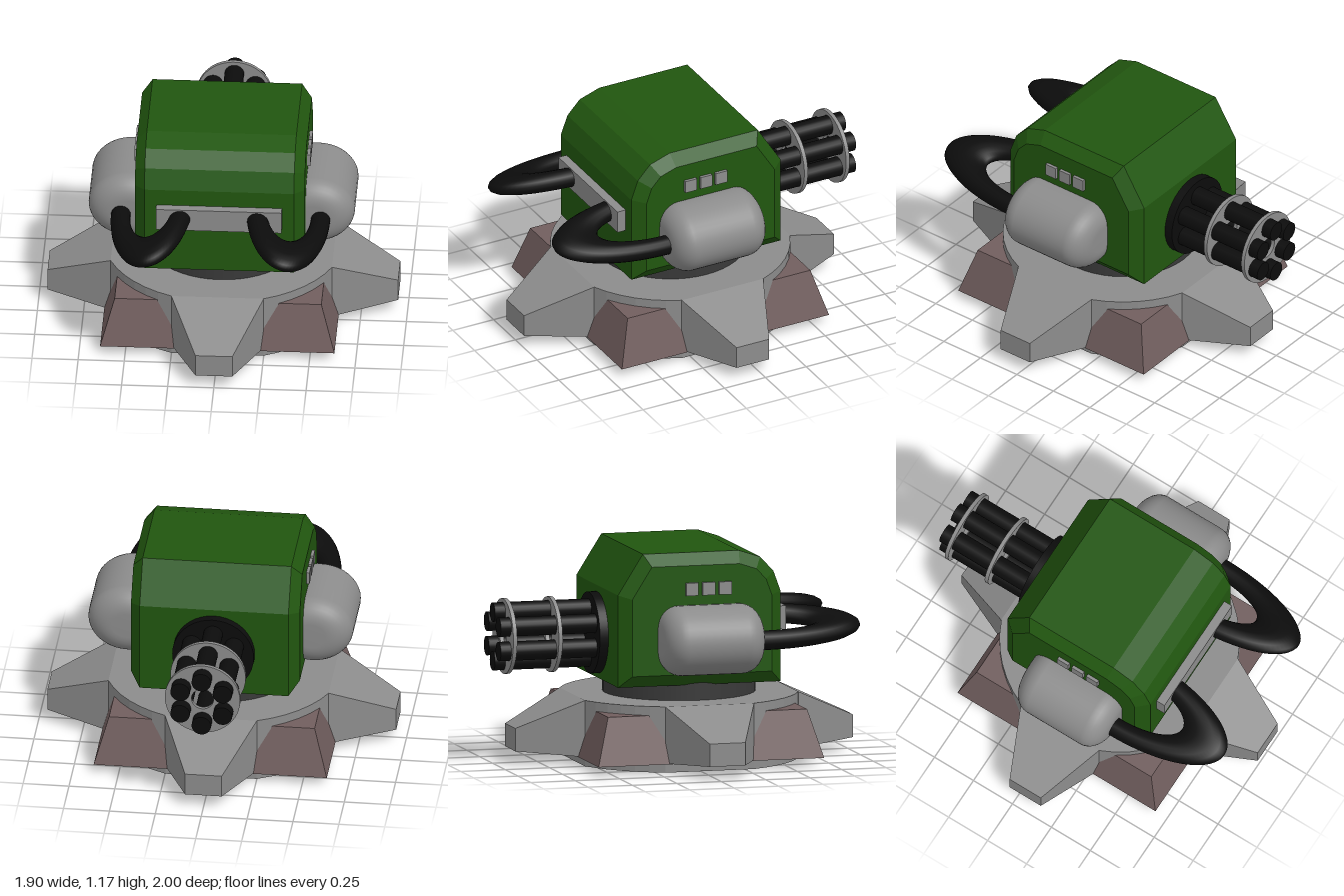
import * as THREE from 'three';

const mat = (color, flatShading = false) => new THREE.MeshStandardMaterial({ color, flatShading });
const grey = mat(0x8c8c8c), greyFlat = mat(0x8c8c8c, true), green = mat(0x21560f, true);
const stone = mat(0x715e5e, true), black = mat(0x0c0c0c), darkGrey = mat(0x393939);

export function createModel() {
  const model = new THREE.Group();
  model.name = 'gunTurret';
  const add = (name, geometry, material, x = 0, y = 0, z = 0, parent = model) => {
    const mesh = new THREE.Mesh(geometry, material);
    mesh.name = name;
    mesh.position.set(x, y, z);
    parent.add(mesh);
    return mesh;
  };

  // Round base plate cut flat on four sides, with a tapering foot on each flat
  const base = new THREE.Group();
  base.name = 'base';
  base.position.z = 0.05;
  model.add(base);
  const plate = new THREE.CylinderGeometry(0.65, 0.65, 0.36, 48);
  const q = plate.attributes.position;
  const clamp = (v) => THREE.MathUtils.clamp(v, -0.6, 0.6);
  for (let i = 0; i < q.count; i++) q.setXYZ(i, clamp(q.getX(i)), q.getY(i), clamp(q.getZ(i)));
  add('basePlate', plate, greyFlat, 0, 0.18, 0, base);

  const footGeometry = new THREE.BoxGeometry(1, 1, 1);
  const p = footGeometry.attributes.position;
  for (let i = 0; i < p.count; i++) {
    const tip = p.getZ(i) > 0, top = p.getY(i) > 0;
    p.setXYZ(i, Math.sign(p.getX(i)) * (tip ? 0.1 : 0.25),
      top ? (tip ? 0.2 : 0.36) : (tip ? 0.075 : 0.05), tip ? 0.95 : 0.6);
  }
  for (let i = 0; i < 4; i++) {
    add('foot', footGeometry, greyFlat, 0, 0, 0, base).rotation.y = i * Math.PI / 2;
  }

  // Square tapered block whose corners stand out between the feet
  const block = new THREE.CylinderGeometry(0.56 * Math.SQRT2, 0.635 * Math.SQRT2, 0.26, 4).rotateY(Math.PI / 4);
  add('cornerBlock', block, stone, 0, 0.18, 0, base);

  // Turning ring under the housing
  add('turnRing', new THREE.CylinderGeometry(0.415, 0.415, 0.12, 48), darkGrey, 0, 0.4, 0, base);

  // Housing: side outline (z, y) extruded across x with bevelled sides
  const outline = [[0.505, 0.445], [0.505, 0.94], [0.465, 1.05], [0.39, 1.13], [0.27, 1.17],
    [-0.27, 1.17], [-0.41, 0.95], [-0.41, 0.445]];
  const shape = new THREE.Shape(outline.map(([z, y]) => new THREE.Vector2(z, y)));
  const housing = new THREE.ExtrudeGeometry(shape, {
    depth: 0.81, bevelThickness: 0.055, bevelSize: 0.065, bevelOffset: -0.065, bevelSegments: 1,
  });
  housing.translate(0, 0, -0.405).rotateY(-Math.PI / 2);
  add('housing', housing, green);
  add('frontPlate', new THREE.BoxGeometry(0.68, 0.127, 0.065), greyFlat, 0, 0.783, 0.522);

  // Side pod profile: a drum with domed ends, widened outwards
  const podProfile = [new THREE.Vector2(0, -0.28)];
  const steps = 8;
  for (let i = 0; i <= steps; i++) {
    const a = (i / steps) * Math.PI / 2;
    podProfile.push(new THREE.Vector2(0.07 + 0.12 * Math.sin(a), -0.17 - 0.11 * Math.cos(a)));
  }
  podProfile.push(...podProfile.map((v) => new THREE.Vector2(v.x, -v.y)).reverse());
  const pod = new THREE.LatheGeometry(podProfile, 40).rotateX(Math.PI / 2).scale(1.15, 1, 1);

  // Feed hose: half torus stretched forward
  const hose = new THREE.TorusGeometry(0.18, 0.053, 16, 40, Math.PI).rotateX(Math.PI / 2).scale(1, 1, 2.58);

  for (const side of [-1, 1]) {
    add('sidePod', pod, grey, side * 0.503, 0.703, 0.08);
    add('feedHose', hose, black, side * 0.368, 0.742, 0.36).rotation.z = -side * 0.28;
    for (let i = 0; i < 3; i++) {
      add('sideVent', new THREE.BoxGeometry(0.03, 0.07, 0.07), greyFlat, side * 0.462, 0.977, 0.175 - i * 0.093);
    }
  }

  // Rotary gun pointing to the back
  const gun = new THREE.Group();
  gun.name = 'rotaryGun';
  gun.position.y = 0.693;
  model.add(gun);
  add('gunMount', new THREE.CylinderGeometry(0.222, 0.222, 0.07, 40).rotateX(Math.PI / 2), black, 0, 0, -0.423, gun);
  const barrel = new THREE.CylinderGeometry(0.053, 0.053, 0.58, 20).rotateX(Math.PI / 2);
  for (let i = 0; i < 6; i++) {
    const a = Math.PI / 2 + i * Math.PI / 3;
    add('barrel', barrel, black, 0.133 * Math.cos(a), 0.133 * Math.sin(a), -0.71, gun);
  }
  const disc = new THREE.Shape().absarc(0, 0, 0.205, 0, Math.PI * 2);
  disc.holes.push(new THREE.Path().absarc(0, 0, 0.06, 0, Math.PI * 2, true));
  const band = new THREE.ExtrudeGeometry(disc, { depth: 0.022, bevelEnabled: false, curveSegments: 40 });
  for (const z of [-0.685, -0.941]) add('barrelBand', band, grey, 0, 0, z, gun);

  return model;
}
